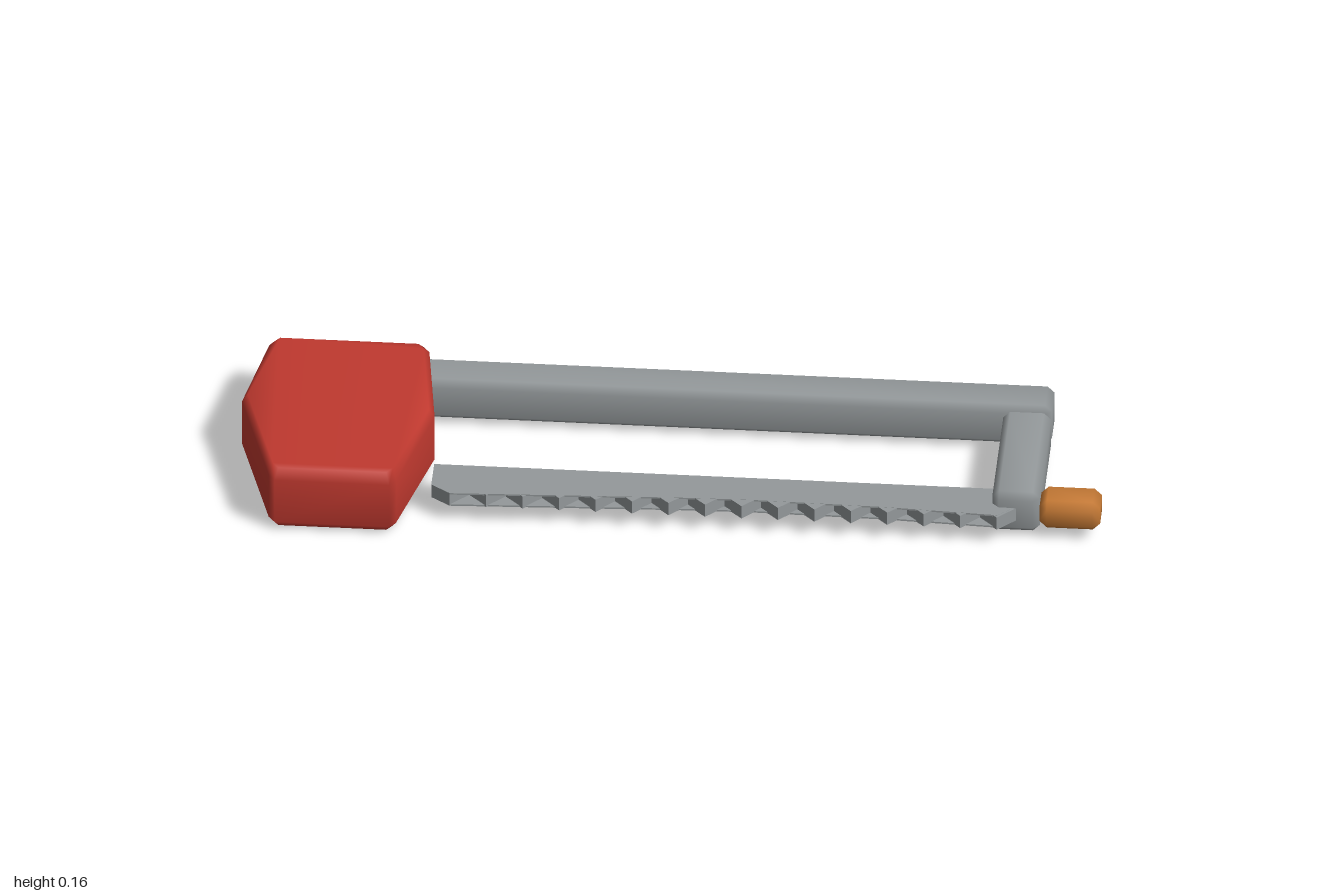
import * as THREE from 'three';
import { mergeVertices } from 'three/addons/utils/BufferGeometryUtils.js';
import { ConvexGeometry } from 'three/addons/geometries/ConvexGeometry.js';

const red = new THREE.MeshStandardMaterial({ color: 0xc0392f });
red.name = 'red handle';
const steel = new THREE.MeshStandardMaterial({ color: 0x94999b });
steel.name = 'grey steel';
const brass = new THREE.MeshStandardMaterial({ color: 0xc67a35 });
brass.name = 'orange knob';
const sheet = steel;

// Convex solid with shared vertices, so its chamfers shade softly
function softHull(points) {
  const g = new ConvexGeometry(points);
  g.deleteAttribute('normal');
  const merged = mergeVertices(g, 1e-4);
  merged.computeVertexNormals();
  return merged;
}

// Box with every edge chamfered by c, given by its minimum and maximum corners
function chamferBox(min, max, c) {
  const mid = min.map((v, i) => (v + max[i]) / 2);
  const half = min.map((v, i) => (max[i] - v) / 2);
  const points = [];
  for (const sx of [-1, 1]) for (const sy of [-1, 1]) for (const sz of [-1, 1]) {
    for (let face = 0; face < 3; face++) {
      const p = [sx, sy, sz].map((s, i) => mid[i] + s * (half[i] - (i === face ? 0 : c)));
      points.push(new THREE.Vector3(...p));
    }
  }
  return softHull(points);
}

// Shape in the ground plane from [x, z] pairs
const planShape = (pts) => new THREE.Shape(pts.map(([x, z]) => new THREE.Vector2(x, -z)));

export function createModel() {
  const model = new THREE.Group();
  model.name = 'hacksaw';
  const add = (name, geometry, material) => {
    const mesh = new THREE.Mesh(geometry, material);
    mesh.name = name;
    model.add(mesh);
    return mesh;
  };

  // Handle: tapered hexagonal plan with chamfered rims
  const outline = [
    [-0.94, -0.285], [-0.6, -0.285], [-0.585, -0.265], [-0.552, 0], [-0.62, 0.265],
    [-0.635, 0.285], [-0.9, 0.285], [-0.915, 0.265], [-1, -0.03], [-0.955, -0.265],
  ];
  const handlePoints = [];
  for (const [x, z] of outline) {
    for (const y of [0.022, 0.138]) handlePoints.push(new THREE.Vector3(x, y, z));
    for (const y of [0, 0.16]) {
      handlePoints.push(new THREE.Vector3(-0.775 + (x + 0.775) * 0.94, y, z * 0.93));
    }
  }
  add('handle', softHull(handlePoints), red);

  // Frame bars and tension knob
  add('backBar', chamferBox([-0.62, 0.01, -0.285], [0.86, 0.116, -0.175], 0.016), steel);
  add('endBar', chamferBox([0.75, 0.01, -0.175], [0.86, 0.116, 0.181], 0.016), steel);
  add('tensionKnob', chamferBox([0.86, 0.026, 0.1], [1, 0.101, 0.191], 0.017), brass);

  // Blade with a row of teeth along its front edge
  const teeth = 16, pitch = 0.0843;
  const profile = [[0.8, 0.105], [-0.545, 0.105], [-0.545, 0.19]];
  for (let i = 0; i < teeth; i++) {
    const x = -0.5 + i * pitch;
    profile.push([x, 0.222], [x + pitch / 2, 0.18]);
  }
  const bladeGeometry = new THREE.ExtrudeGeometry(planShape(profile), { depth: 0.034, bevelEnabled: false });
  bladeGeometry.rotateX(-Math.PI / 2).translate(0, 0.046, 0);
  add('blade', bladeGeometry, sheet);

  // Thin cheeks that fill the tooth gaps on both flat sides
  const cheek = planShape([
    [-0.545, 0.15], [-0.545, 0.19], [-0.5, 0.222], [0.05, 0.198],
    [0.2, 0.195], [0.5, 0.2], [0.765, 0.213], [0.8, 0.18], [0.8, 0.15],
  ]);
  for (const y of [0.0455, 0.0765]) {
    const g = new THREE.ExtrudeGeometry(cheek, { depth: 0.004, bevelEnabled: false });
    g.rotateX(-Math.PI / 2).translate(0, y, 0);
    add(y < 0.06 ? 'lowerBladeCheek' : 'upperBladeCheek', g, sheet);
  }

  return model;
}
